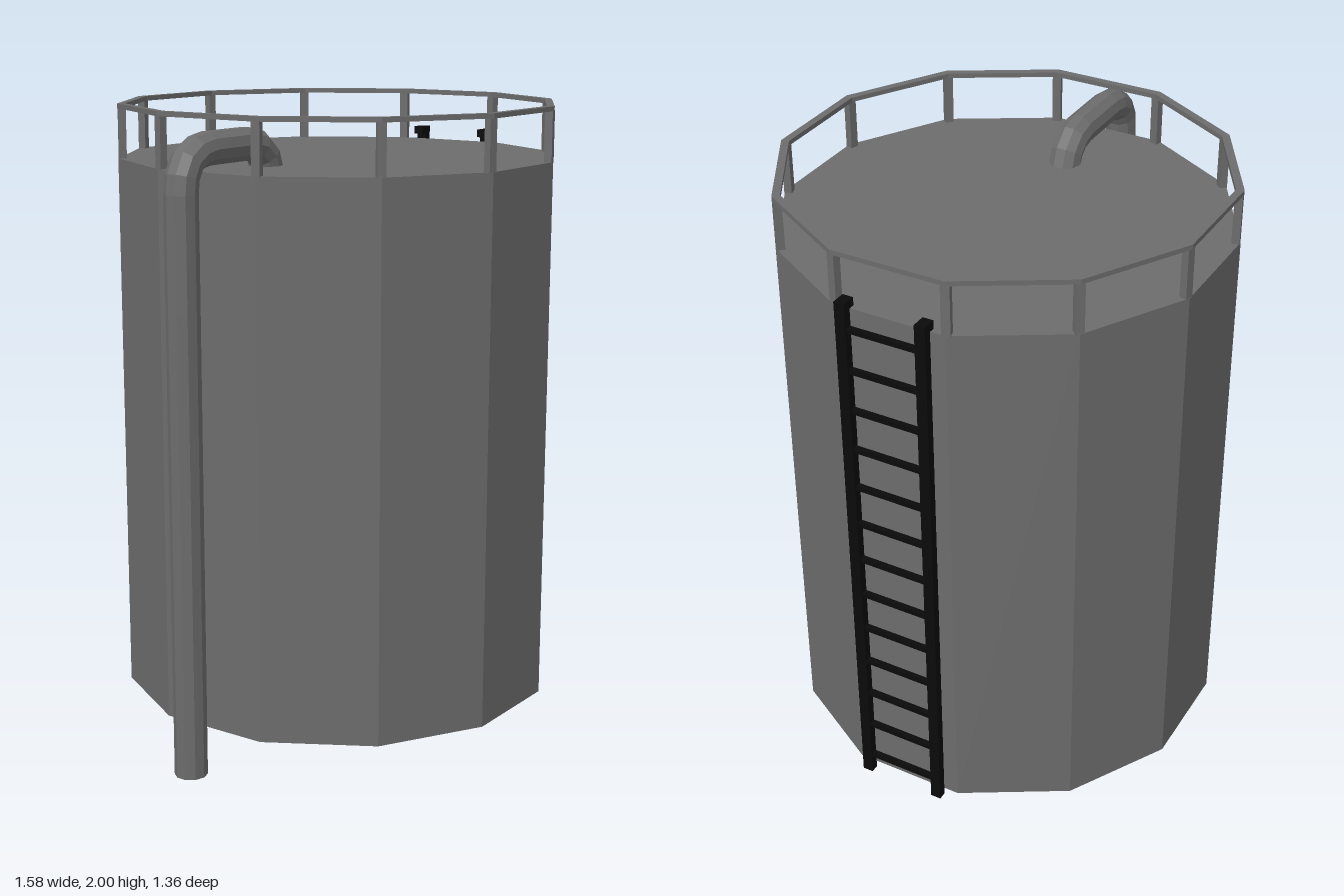
import * as THREE from 'three';

const SIDES = 12;
const RADIUS = 0.701;
const CENTRE_X = 0.0625;
const TANK_BOTTOM = 0.1;
const TANK_TOP = 1.83;

export function createModel() {
  const model = new THREE.Group();
  model.name = 'storageTank';

  const steel = new THREE.MeshStandardMaterial({ color: 0x6c6c6c, side: THREE.DoubleSide, flatShading: true });
  steel.name = 'grey steel';
  const black = new THREE.MeshStandardMaterial({ color: 0x0a0a0a, flatShading: true });
  black.name = 'black iron';

  const add = (parent, name, geometry, material, x = 0, y = 0, z = 0) => {
    const mesh = new THREE.Mesh(geometry, material);
    mesh.name = name;
    mesh.position.set(x, y, z);
    parent.add(mesh);
    return mesh;
  };
  const cornerAngle = (i) => ((i + 0.5) / SIDES) * Math.PI * 2;
  const polygon = (radius) => Array.from({ length: SIDES }, (_, i) =>
    new THREE.Vector2(Math.cos(cornerAngle(i)) * radius, Math.sin(cornerAngle(i)) * radius));

  // Tank: twelve-sided shell, open underneath, with a flat lid
  const tank = new THREE.Group();
  tank.name = 'tank';
  tank.position.x = CENTRE_X;
  model.add(tank);
  const height = TANK_TOP - TANK_BOTTOM;
  const shell = new THREE.CylinderGeometry(RADIUS, RADIUS, height, SIDES, 1, true, Math.PI / SIDES);
  add(tank, 'shell', shell, steel, 0, TANK_BOTTOM + height / 2);
  const lid = new THREE.ShapeGeometry(new THREE.Shape(polygon(RADIUS))).rotateX(-Math.PI / 2);
  add(tank, 'lid', lid, steel, 0, TANK_TOP);

  // Guard rail: mitred top ring on a post at each corner
  const railing = new THREE.Group();
  railing.name = 'railing';
  tank.add(railing);
  const ring = new THREE.Shape(polygon(RADIUS));
  ring.holes.push(new THREE.Path(polygon(RADIUS - 0.025)));
  const ringGeometry = new THREE.ExtrudeGeometry(ring, { depth: 0.015, bevelEnabled: false }).rotateX(-Math.PI / 2);
  add(railing, 'topRail', ringGeometry, steel, 0, 1.985);
  const postGeometry = new THREE.BoxGeometry(0.024, 0.16, 0.027);
  for (let i = 0; i < SIDES; i++) {
    const a = cornerAngle(i);
    const r = RADIUS - 0.014;
    const post = add(railing, 'post', postGeometry, steel, Math.cos(a) * r, 1.907, Math.sin(a) * r);
    post.rotation.y = -a;
  }

  // Filler pipe: up the side, over the rim and down into the lid
  const v = (x, y) => new THREE.Vector3(x, y, 0.013);
  const path = new THREE.CurvePath();
  path.add(new THREE.LineCurve3(v(-0.743, 0), v(-0.743, 1.78)));
  path.add(new THREE.QuadraticBezierCurve3(v(-0.743, 1.78), v(-0.743, 1.9), v(-0.62, 1.902)));
  path.add(new THREE.LineCurve3(v(-0.62, 1.902), v(-0.44, 1.902)));
  path.add(new THREE.QuadraticBezierCurve3(v(-0.44, 1.902), v(-0.35, 1.9), v(-0.335, 1.815)));
  add(model, 'pipe', new THREE.TubeGeometry(path, 48, 0.051, 10, false), steel);

  // Ladder: two stiles hooked to the rim, with thirteen rungs
  const ladder = new THREE.Group();
  ladder.name = 'ladder';
  model.add(ladder);
  for (const side of [-1, 1]) {
    add(ladder, 'stile', new THREE.BoxGeometry(0.027, 1.77, 0.034), black, 0.7735, 0.985, side * 0.128);
    add(ladder, 'bracket', new THREE.BoxGeometry(0.047, 0.026, 0.034), black, 0.7635, 1.857, side * 0.128);
  }
  const rung = new THREE.BoxGeometry(0.018, 0.015, 0.24);
  for (let i = 0; i < 13; i++) {
    add(ladder, 'rung', rung, black, 0.773, 0.17 + i * 0.1345, 0);
  }

  return model;
}
